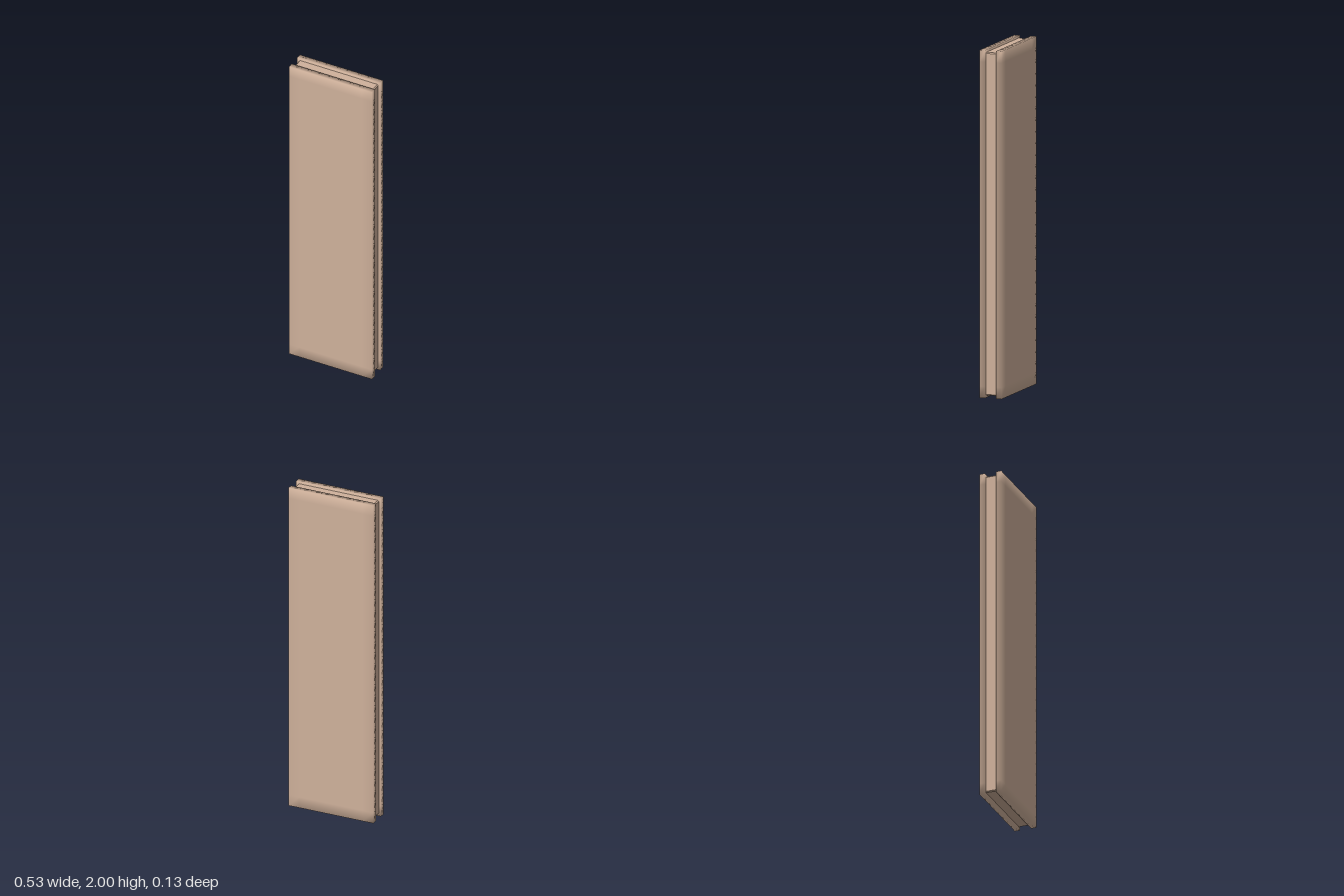
import * as THREE from 'three';
import { mergeVertices } from 'three/addons/utils/BufferGeometryUtils.js';

const W = 0.533, H = 2, PLATE = 0.033, GAP = 0.067;

// Slab on a square grid with shared vertices, so its shading rolls softly over the rim
function softSlab(w, h, d) {
  let g = new THREE.BoxGeometry(w, h, d, 8, 30, 1);
  g.deleteAttribute('uv');
  g.deleteAttribute('normal');
  g = mergeVertices(g, 1e-4);
  g.computeVertexNormals();
  return g;
}

// Upright slab with small chamfers on its four corners
function chamferedSlab(w, h, d, c) {
  const x = w / 2, y = h / 2;
  const outline = [
    [x - c, -y], [x, -y + c], [x, y - c], [x - c, y],
    [-x + c, y], [-x, y - c], [-x, -y + c], [-x + c, -y],
  ].map(([px, py]) => new THREE.Vector2(px, py));
  const g = new THREE.ExtrudeGeometry(new THREE.Shape(outline), { depth: d, bevelEnabled: false });
  return g.translate(0, 0, -d / 2);
}

export function createModel() {
  const model = new THREE.Group();
  model.name = 'panel';
  const tan = new THREE.MeshStandardMaterial({ color: 0xcfb19b });
  tan.name = 'tan';

  const add = (name, geometry, z) => {
    const mesh = new THREE.Mesh(geometry, tan);
    mesh.name = name;
    mesh.position.set(0, H / 2, z);
    model.add(mesh);
  };

  // Two outer plates sandwiching a narrower core
  const plate = softSlab(W, H, PLATE);
  const offset = (GAP + PLATE) / 2;
  add('frontPlate', plate, offset);
  add('backPlate', plate, -offset);
  add('core', chamferedSlab(0.506, 1.973, GAP, 0.006), 0);

  return model;
}
